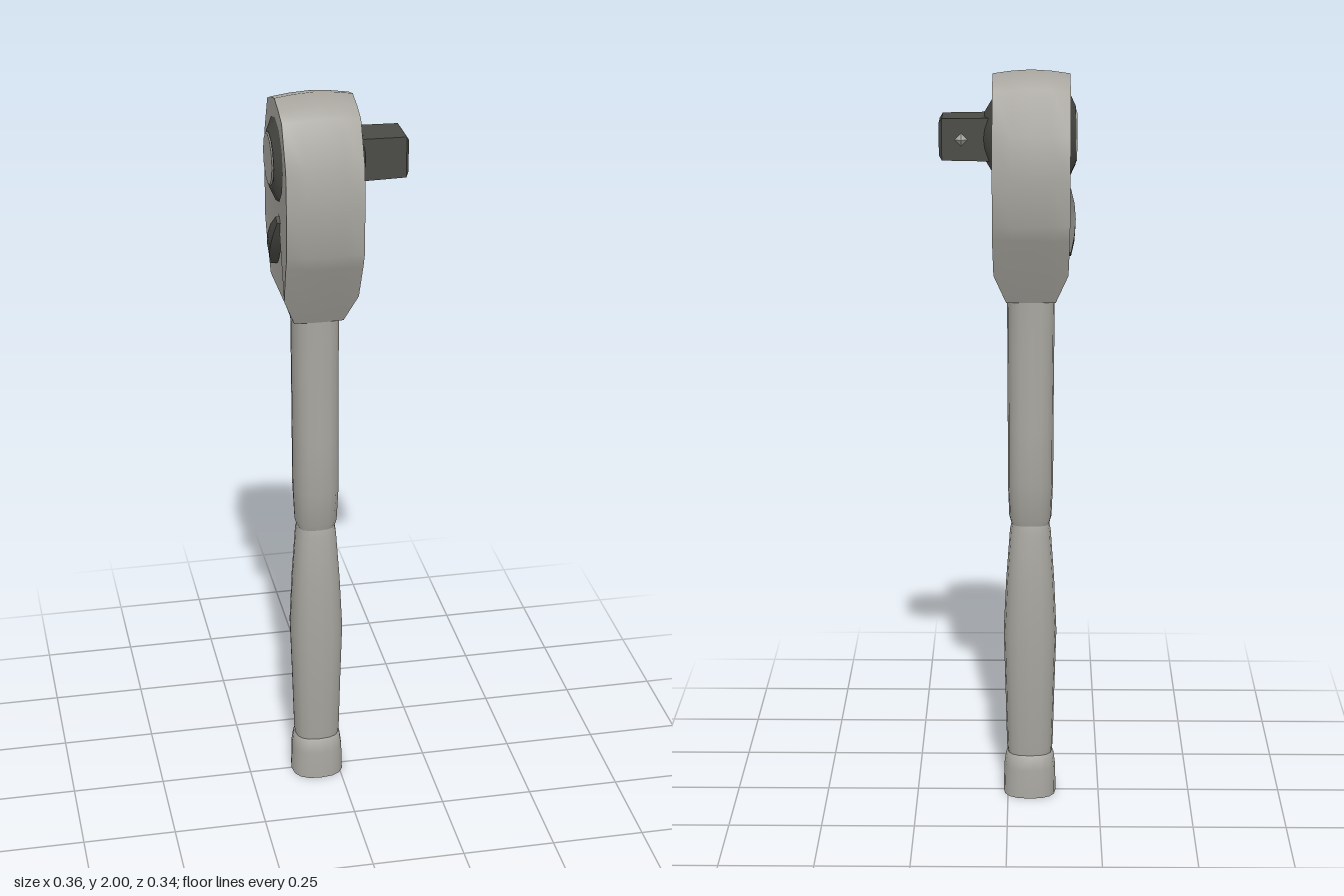
import * as THREE from 'three';
import { toCreasedNormals } from 'three/addons/utils/BufferGeometryUtils.js';

const steel = new THREE.MeshStandardMaterial({ name: 'satin steel', color: 0xa8a69f });
const dark = new THREE.MeshStandardMaterial({ name: 'dark steel', color: 0x4a4b46 });

// Skins a list of closed rings of [x, y, z], with optional flat end caps.
function loft(rings, capStart, capEnd, crease = 0.8) {
  const n = rings[0].length, pos = rings.flat(2), idx = [];
  for (let r = 0; r < rings.length - 1; r++)
    for (let j = 0; j < n; j++) {
      const a = r * n + j, b = r * n + (j + 1) % n, c = a + n, d = b + n;
      idx.push(a, c, b, b, c, d);
    }
  const cap = (r, flip) => {
    const c = pos.length / 3;
    const mid = [0, 1, 2].map(k => rings[r].reduce((s, p) => s + p[k], 0) / n);
    pos.push(...mid);
    for (let j = 0; j < n; j++) {
      const a = r * n + j, b = r * n + (j + 1) % n;
      idx.push(...(flip ? [c, a, b] : [c, b, a]));
    }
  };
  if (capStart) cap(0, true);
  if (capEnd) cap(rings.length - 1, false);
  const g = new THREE.BufferGeometry();
  g.setAttribute('position', new THREE.Float32BufferAttribute(pos, 3));
  g.setIndex(idx);
  return toCreasedNormals(g, crease);
}

// Rounded-square ring across the handle: height, half widths in x and z.
function handleRing([y, hx, hz]) {
  return Array.from({ length: 16 }, (_, i) => {
    const t = i / 16 * Math.PI * 2, c = Math.cos(t), s = Math.sin(t);
    const soft = v => Math.sign(v) * Math.abs(v) ** 0.8;
    return [-0.06 + hx * soft(c), y, hz * soft(s)];
  });
}

// Mirrors a half profile of [y, z], running down one side and up the other.
function mirrored(half) {
  return [...half.map(([y, z]) => [y, -z]), ...half.slice(1, -1).reverse()];
}

export function createModel() {
  const group = new THREE.Group();
  const add = (name, geo, mat, x = 0, y = 0, z = 0) => {
    const m = new THREE.Mesh(geo, mat);
    m.name = name;
    m.position.set(x, y, z);
    group.add(m);
    return m;
  };

  // Handle: butt cap, swelling grip and upper shank
  const handle = {
    buttCap: [[0, 0.072, 0.067], [0.08, 0.07, 0.065], [0.115, 0.065, 0.06], [0.128, 0.054, 0.05]],
    grip: [[0.115, 0.06, 0.054], [0.14, 0.063, 0.057], [0.3, 0.067, 0.064], [0.47, 0.072, 0.073],
      [0.62, 0.065, 0.065], [0.76, 0.055, 0.056], [0.785, 0.05, 0.05]],
    shank: [[0.775, 0.05, 0.048], [0.8, 0.057, 0.056], [0.9, 0.061, 0.073], [1.05, 0.061, 0.07],
      [1.25, 0.062, 0.065], [1.43, 0.063, 0.065]],
  };
  for (const [name, rings] of Object.entries(handle))
    add(name, loft(rings.map(handleRing), true, true), steel);

  // Head: pear outline skinned through its thickness, thinning into the neck
  const outline = mirrored([[2, 0], [1.985, 0.06], [1.965, 0.11], [1.85, 0.165], [1.74, 0.17],
    [1.62, 0.168], [1.58, 0.15], [1.48, 0.105], [1.4, 0.065], [1.39, 0]]);
  const rim = mirrored([[1.97, 0], [1.96, 0.055], [1.92, 0.105], [1.84, 0.138], [1.74, 0.145],
    [1.67, 0.142], [1.62, 0.122], [1.58, 0.085], [1.563, 0.045], [1.558, 0]]);
  const headRing = (t, scale) => outline.map(([y, z]) => {
    const thick = 0.062 + 0.038 * THREE.MathUtils.smoothstep(y, 1.38, 1.5);
    return [-0.06 + t * thick, y > 1.8 ? 1.8 + (y - 1.8) * scale : y, z * scale];
  });
  const rimRing = (x, s) => rim.map(([y, z]) => [x, 1.78 + (y - 1.78) * s, z * s]);
  add('head', loft([headRing(-1, 0.95), headRing(-0.5, 0.985), headRing(0, 1), headRing(0.5, 0.985),
    headRing(1, 0.95), rimRing(0.04, 1)], true, false), steel);

  // Dark dished plate set into the drive side
  add('drivePlate', loft([rimRing(0.04, 1), rimRing(0.022, 0.93), rimRing(0.005, 0.7)], false, true), dark);

  // Flared collar and square drive with chamfered tip
  const collar = new THREE.CylinderGeometry(0.06, 0.11, 0.03, 16);
  collar.rotateZ(-Math.PI / 2);
  add('driveCollar', toCreasedNormals(collar, 0.6), dark, 0.047, 1.83, -0.004);
  const collarBase = new THREE.CylinderGeometry(0.11, 0.11, 0.035, 16, 1, true);
  collarBase.rotateZ(-Math.PI / 2);
  add('collarBase', collarBase, dark, 0.016, 1.83, -0.004);
  const square = (x, h) => [[h, h], [h, -h], [-h, -h], [-h, h]].map(([y, z]) => [x, y, z]);
  add('squareDrive', loft([square(0.04, 0.056), square(0.17, 0.054), square(0.178, 0.042)], false, true, 0.2),
    dark, 0, 1.828, -0.007);
  const ball = new THREE.ConeGeometry(0.018, 0.014, 4);
  ball.rotateX(-Math.PI / 2);
  add('detentBall', toCreasedNormals(ball, 0.3), steel, 0.12, 1.828, -0.068);

  // Back cover: dark bevelled ring with a steel disc
  const ring = new THREE.CylinderGeometry(0.075, 0.11, 0.016, 12);
  ring.rotateZ(Math.PI / 2);
  add('coverRing', toCreasedNormals(ring, 0.4), dark, -0.167, 1.83, 0);
  const disc = new THREE.CylinderGeometry(0.066, 0.07, 0.004, 12);
  disc.rotateZ(Math.PI / 2);
  add('coverDisc', toCreasedNormals(disc, 0.4), steel, -0.176, 1.83, -0.005);

  // Slanted reversing lever, raised at its thumb end
  const lever = new THREE.BoxGeometry(0.03, 0.18, 0.045, 1, 4, 1);
  const p = lever.attributes.position;
  for (let i = 0; i < p.count; i++) {
    const end = Math.abs(p.getY(i)) / 0.09;
    p.setZ(i, p.getZ(i) * (1 - 0.5 * end * end));
    if (p.getX(i) < 0) p.setX(i, -0.015 + 0.012 * end * end);
  }
  add('reversingLever', toCreasedNormals(lever, 0.5), dark, -0.161, 1.605, -0.015).rotation.x = 0.6;

  return group;
}
